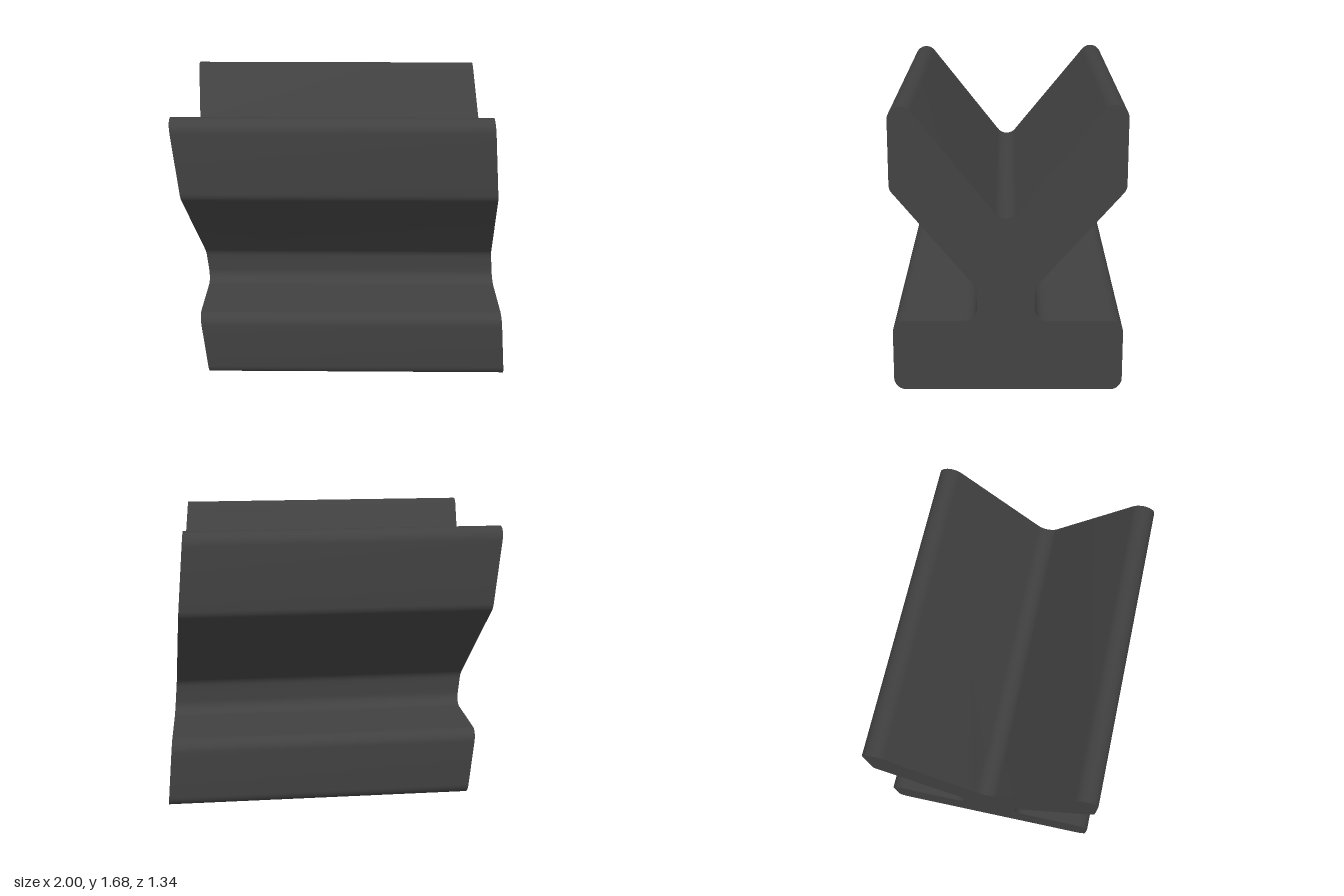
import * as THREE from 'three';
import { toCreasedNormals } from 'three/addons/utils/BufferGeometryUtils.js';

// Closed outline from [x, y, radius] corners, each rounded by a tangent arc
function roundedOutline(corners, steps = 10) {
  const points = [];
  corners.forEach(([x, y, r], i) => {
    const n = corners.length;
    const p = new THREE.Vector2(x, y);
    const toPrev = new THREE.Vector2(...corners[(i + n - 1) % n].slice(0, 2)).sub(p).normalize();
    const toNext = new THREE.Vector2(...corners[(i + 1) % n].slice(0, 2)).sub(p).normalize();
    const half = Math.acos(toPrev.dot(toNext)) / 2;
    const centre = toPrev.clone().add(toNext).normalize().multiplyScalar(r / Math.sin(half)).add(p);
    const start = toPrev.clone().multiplyScalar(r / Math.tan(half)).add(p).sub(centre);
    const end = toNext.clone().multiplyScalar(r / Math.tan(half)).add(p).sub(centre);
    const sweep = Math.atan2(start.cross(end), start.dot(end));
    for (let k = 0; k <= steps; k++) {
      points.push(start.clone().rotateAround(new THREE.Vector2(), sweep * k / steps).add(centre));
    }
  });
  return new THREE.Shape(points);
}

export function createModel() {
  const group = new THREE.Group();
  group.name = 'vCradle';

  // Cross-section: foot, neck and two V arms (x here is -z of the model)
  const profile = roundedOutline([
    [-0.67, 0, 0.07], [0.67, 0, 0.07], [0.67, 0.427, 0.07], [0.155, 0.427, 0.075],
    [0.155, 0.628, 0.08], [0.67, 1.207, 0.07], [0.67, 1.818, 0.075],
    [-0.014, 0.993, 0.08],
    [-0.67, 1.815, 0.075], [-0.67, 1.207, 0.07], [-0.18, 0.626, 0.08],
    [-0.18, 0.427, 0.075], [-0.67, 0.427, 0.07],
  ]);

  const geometry = new THREE.ExtrudeGeometry(profile, { depth: 1.852, bevelEnabled: false });
  geometry.rotateY(Math.PI / 2);

  // Slanted end faces: shift x with height
  const pos = geometry.attributes.position;
  for (let i = 0; i < pos.count; i++) {
    pos.setX(i, pos.getX(i) - 0.852 - 0.088 * pos.getY(i));
  }

  // Charcoal body
  const material = new THREE.MeshStandardMaterial({ color: 0x404040 });
  const body = new THREE.Mesh(toCreasedNormals(geometry, 0.5), material);
  body.name = 'cradleBody';
  group.add(body);
  return group;
}
